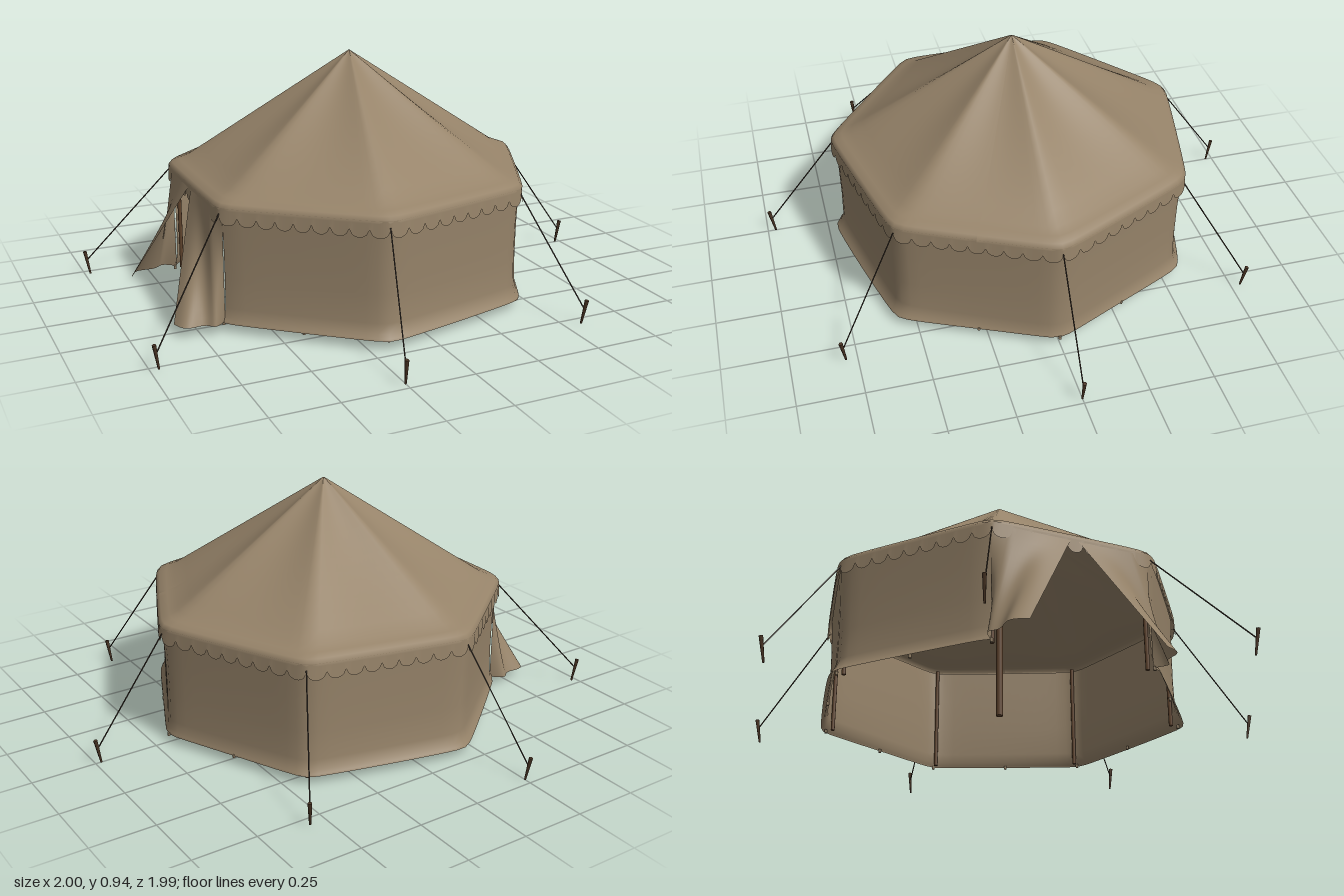
import * as THREE from 'three';

const CX = -0.02, SIDES = 7, STEP = (Math.PI * 2) / SIDES;

// Point on a seven-sided ring with softened corners; u counts corners, R is the corner radius
function ringPoint(u, R, y) {
  const d = Math.abs(u - Math.floor(u) - 0.5) * STEP;
  const fromCorner = Math.hypot(STEP / 2 - d, 0.04);
  const r = (R * Math.cos(STEP / 2)) / Math.cos(STEP / 2 - fromCorner);
  return [CX + r * Math.cos(u * STEP), y, r * Math.sin(u * STEP)];
}

// Smooth cloth surface from fn(s, t), both 0..1
function sheet(cols, rows, fn) {
  const pos = [], idx = [], n = cols + 1;
  for (let i = 0; i <= rows; i++)
    for (let j = 0; j <= cols; j++) pos.push(...fn(j / cols, i / rows));
  for (let i = 0; i < rows; i++)
    for (let j = 0; j < cols; j++) {
      const a = i * n + j;
      idx.push(a, a + n, a + 1, a + 1, a + n, a + n + 1);
    }
  const g = new THREE.BufferGeometry();
  g.setAttribute('position', new THREE.Float32BufferAttribute(pos, 3));
  g.setIndex(idx);
  g.computeVertexNormals();
  return g;
}

// Radius and height along a profile of [R, y] pairs, one row per pair
function profileAt(profile, t) {
  return profile[Math.round(t * (profile.length - 1))];
}

// Straight rod between two points
function rod(a, b, r0, r1, sides, mat, name) {
  const A = new THREE.Vector3(...a), B = new THREE.Vector3(...b);
  const dir = B.clone().sub(A);
  const m = new THREE.Mesh(new THREE.CylinderGeometry(r1, r0, dir.length(), sides), mat);
  m.position.copy(A).add(B).multiplyScalar(0.5);
  m.quaternion.setFromUnitVectors(new THREE.Vector3(0, 1, 0), dir.normalize());
  m.name = name;
  return m;
}

export function createModel() {
  const tent = new THREE.Group();
  tent.name = 'tent';
  const canvas = new THREE.MeshStandardMaterial({ color: 0x968369, side: THREE.DoubleSide });
  canvas.name = 'canvas';
  const wood = new THREE.MeshStandardMaterial({ color: 0x5f432c });
  wood.name = 'wood';
  const rope = new THREE.MeshStandardMaterial({ color: 0x3a3027 });
  rope.name = 'rope';
  const stakeWood = new THREE.MeshStandardMaterial({ color: 0x4a3524 });
  stakeWood.name = 'stake wood';
  const add = (geo, mat, name) => {
    const m = new THREE.Mesh(geo, mat);
    m.name = name;
    tent.add(m);
  };

  // Roof with a rounded shoulder and panels sagging between the ridges
  const roofProfile = [[0.732, 0.455], [0.736, 0.475], [0.722, 0.492], [0.69, 0.503]];
  for (let i = 0; i <= 12; i++) {
    const k = i / 12;
    roofProfile.push([0.65 * (1 - k) + 0.003, 0.518 + 0.422 * k]);
  }
  add(sheet(SIDES * 16, roofProfile.length - 1, (s, t) => {
    const u = 0.5 + s * SIDES, f = u - Math.floor(u);
    const [R, y] = profileAt(roofProfile, t);
    const k = Math.max(0, (y - 0.503) / 0.437);
    const sag = 0.02 * Math.sin(Math.PI * f) * Math.sin(Math.PI * k);
    return ringPoint(u, R, y - sag);
  }), canvas, 'roof');

  // Scalloped valance hanging from the eave
  const scallops = 9;
  add(sheet(SIDES * scallops * 8, 2, (s, t) => {
    const u = s * SIDES;
    const low = 0.445 - 0.03 * Math.sqrt(Math.abs(Math.sin(u * scallops * Math.PI)));
    return ringPoint(u, 0.738 - 0.004 * t, low + (0.478 - low) * t);
  }), canvas, 'valance');

  // Wall around six sides, leaving the doorway open; the hem flares most at front and back
  const wallProfile = [[0.728, 0.034], [0.727, 0.042], [0.72, 0.055], [0.716, 0.09],
    [0.714, 0.2], [0.716, 0.33], [0.722, 0.47]];
  add(sheet(6 * 16, wallProfile.length - 1, (s, t) => {
    const u = 4 + s * 6;
    const [R, y] = profileAt(wallProfile, t);
    const flare = 0.02 * Math.sin(u * STEP) ** 2 * Math.max(0, 1 - (y - 0.034) / 0.05);
    return ringPoint(u, R + flare, y);
  }), canvas, 'wall');

  // Door curtains, joined to the wall ends and swept outwards at the foot
  for (const side of [1, -1]) {
    const reach = side > 0 ? 0.18 : 0.2;
    add(sheet(20, 16, (s, t) => {
      const k = 1 - t;
      const topZ = 0.308 - 0.293 * s;
      const footZ = 0.308 - 0.048 * s + 0.05 * Math.sin(s * Math.PI);
      const fold = 0.016 * k * Math.sin(s * Math.PI * 3);
      return [
        -0.657 - 0.025 * Math.min(1, s * 4) * t - reach * k * s - 0.5 * fold,
        0.038 + 0.425 * t,
        side * (topZ * t + footZ * k + fold),
      ];
    }), canvas, side > 0 ? 'leftDoorCurtain' : 'rightDoorCurtain');
  }

  // Centre pole and a post inside each corner
  tent.add(rod([CX, 0.03, 0], [CX, 0.92, 0], 0.014, 0.012, 12, wood, 'centrePole'));
  for (let i = 0; i < SIDES; i++)
    tent.add(rod(ringPoint(i, 0.698, 0.035), ringPoint(i, 0.698, 0.47), 0.008, 0.008, 8, wood, 'cornerPost'));

  // Guy ropes and stakes, one per corner
  const feet = [[0.985, 0], [0.573, 0.8], [-0.253, 0.975], [-0.975, 0.522],
    [-0.985, -0.472], [-0.253, -0.98], [0.568, -0.795]];
  feet.forEach(([x, z], i) => {
    const len = Math.hypot(x, z), ox = x / len, oz = z / len;
    tent.add(rod(ringPoint(i, 0.735, 0.455), [x, 0.062, z], 0.0025, 0.0025, 6, rope, 'guyRope'));
    tent.add(rod([x - ox * 0.008, 0, z - oz * 0.008], [x + ox * 0.01, 0.095, z + oz * 0.01],
      0.004, 0.008, 6, stakeWood, 'stake'));
  });

  // Small cloth loops under the hem
  for (let u = 4; u <= 10; u += 0.5)
    tent.add(rod(ringPoint(u, 0.727, 0.026), ringPoint(u, 0.727, 0.04), 0.006, 0.006, 6, canvas, 'hemLoop'));

  return tent;
}
